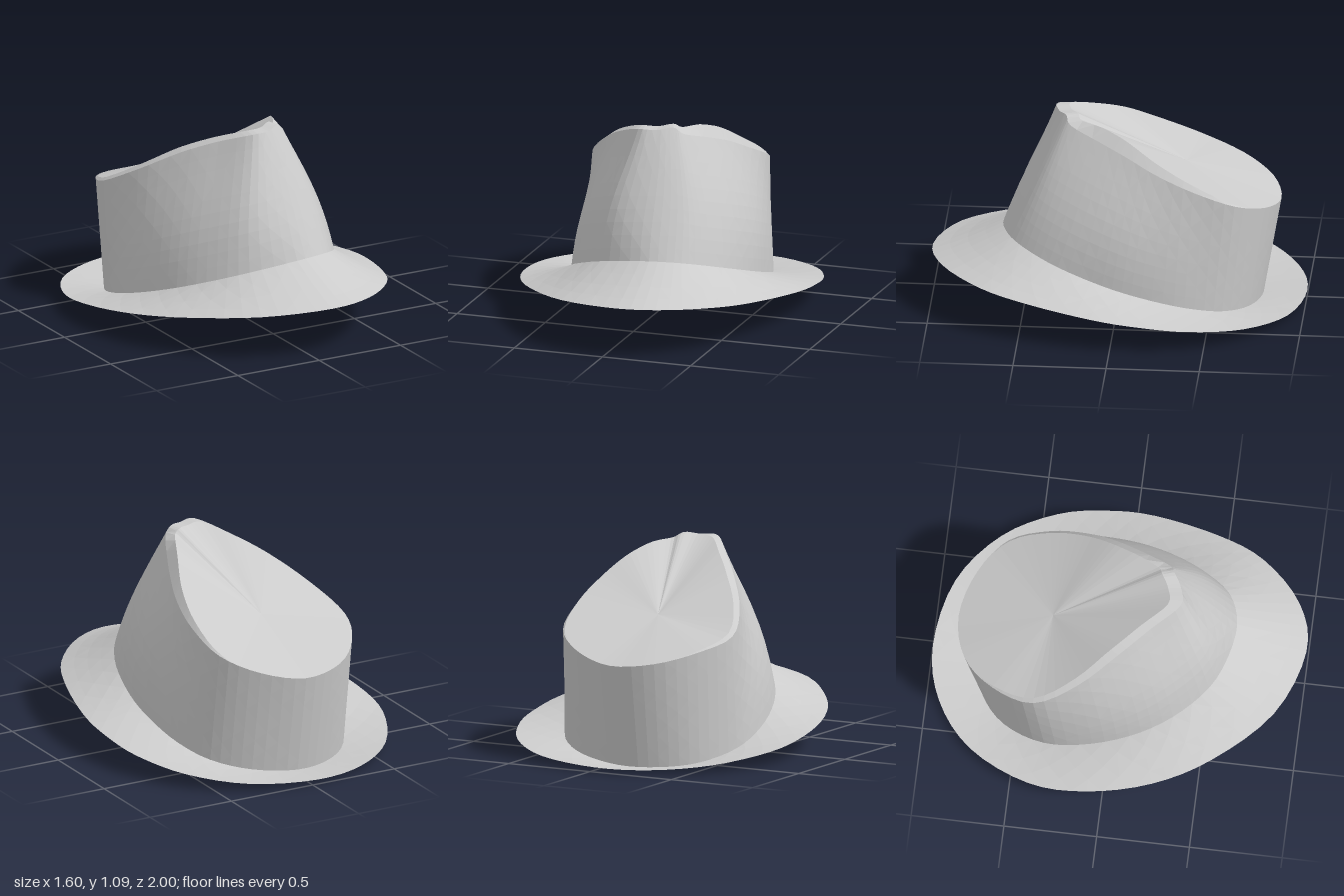
import * as THREE from 'three';

const SEG = 68; // facets around every loop
const { smoothstep, clamp } = THREE.MathUtils;

// Loop outlines, starting at the front and running round the model's left to the back.
const SEAM = [[.08, .62], [.26, .585], [.38, .48], [.475, .3], [.525, .06], [.525, -.15], [.485, -.38], [.39, -.575], [.21, -.71],
  [-.04, -.765], [-.26, -.71], [-.43, -.57], [-.53, -.34], [-.53, -.08], [-.465, .175], [-.345, .385], [-.17, .545]];
const EDGE = [[.08, 1], [.35, .93], [.58, .71], [.7, .45], [.785, .1], [.795, -.16], [.755, -.425], [.61, -.71], [.34, -.925],
  [-.03, -1], [-.34, -.93], [-.6, -.73], [-.77, -.4], [-.795, -.08], [-.725, .265], [-.565, .57], [-.28, .87]];
const RIM = [[.07, 1.085, .325], [.15, 1.095, .28], [.2, 1.055, .25], [.28, 1.0, .09], [.345, .945, -.06], [.395, .87, -.22],
  [.415, .785, -.42], [.37, .69, -.64], [.2, .61, -.79], [-.04, .56, -.86], [-.28, .58, -.8], [-.45, .63, -.63],
  [-.535, .69, -.4], [-.45, .81, -.17], [-.3, .94, .03], [-.16, 1.025, .19], [-.03, 1.085, .335]];

// Smooth closed loop through the control points
function loop(points) {
  const curve = new THREE.CatmullRomCurve3(points.map(p => new THREE.Vector3(...p)), true, 'catmullrom', 0.5);
  return Array.from({ length: SEG }, (_, i) => curve.getPoint(i / SEG));
}

// Rings between two loops; shape(point, t) adjusts the straight blend
function between(a, b, steps, shape = () => {}) {
  return Array.from({ length: steps + 1 }, (_, j) => a.map((p, i) => {
    const t = j / steps, v = p.clone().lerp(b[i], t);
    shape(v, t);
    return v;
  }));
}

// Mesh skinned over successive rings
function skin(name, rings) {
  const pos = rings.flat().flatMap(v => [v.x, v.y, v.z]);
  const index = [];
  for (let j = 0; j < rings.length - 1; j++) {
    for (let i = 0; i < SEG; i++) {
      const k = (i + 1) % SEG;
      const a = j * SEG + i, b = j * SEG + k, c = a + SEG, d = b + SEG;
      if ((i + j) % 2) index.push(a, b, d, a, d, c);
      else index.push(a, b, c, b, d, c);
    }
  }
  const geometry = new THREE.BufferGeometry();
  geometry.setAttribute('position', new THREE.Float32BufferAttribute(pos, 3));
  geometry.setIndex(index);
  geometry.computeVertexNormals();
  const mesh = new THREE.Mesh(geometry, new THREE.MeshStandardMaterial({
    color: 0xcccccc, flatShading: true, side: THREE.DoubleSide,
  }));
  mesh.name = name;
  return mesh;
}

export function createModel() {
  const hat = new THREE.Group();
  hat.name = 'hat';

  // The seam slopes down to the back more steeply than the brim edge
  const seam = loop(SEAM.map(([x, z]) => [x, Math.max(.005, .212 + .315 * z + .066 * z * z + .07 * x), z]));
  const edge = loop(EDGE.map(([x, z]) => [x, .154 + .125 * z + .025 * x, z]));
  const rim = loop(RIM);

  // Brim: dips at the front, turned up at the back
  hat.add(skin('brim', between(edge, seam, 4, (v, t) => {
    v.y -= .012 * Math.sin(Math.PI * t) * Math.max(0, v.z);
  })));

  // Crown wall: fuller on the left side and at the right front corner
  hat.add(skin('crownWall', between(seam, rim, 10, (v, t) => {
    const bulge = Math.sin(Math.PI * t);
    const corner = .03 * bulge * smoothstep(v.z - v.x, .25, .65);
    v.x += .1 * bulge * Math.max(0, v.x) * smoothstep(v.z, -.6, .1) - corner;
    v.z += corner * .8;
  })));

  // Lip: bevel rising from the wall to the ridge, highest on the left, fading out towards the back
  const centre = new THREE.Vector3(-.05, .76, -.35);
  const ridge = rim.map(p => {
    const w = clamp((p.z + .7) / .7, 0, 1);
    const v = p.clone().lerp(centre, .01 + .09 * w);
    v.y += w * (.035 + .045 * smoothstep(p.x, .15, .28));
    return v;
  });
  hat.add(skin('crownLip', [rim, ridge]));

  // Sloping top panel
  hat.add(skin('crownTop', between(ridge, ridge.map(() => centre), 5)));
  return hat;
}
